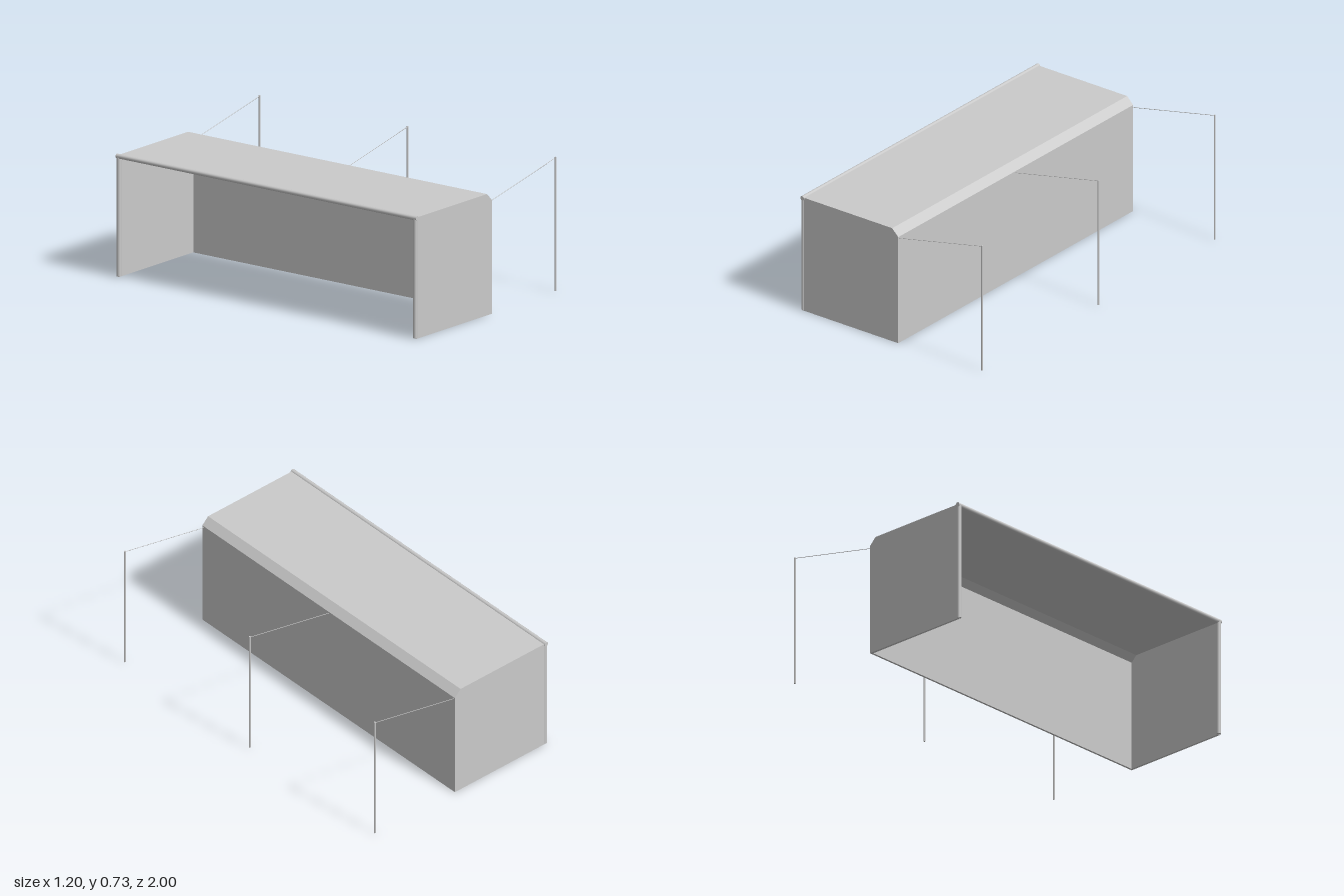
import * as THREE from 'three';

const canvas = new THREE.MeshStandardMaterial({ color: 0xcacaca });
canvas.name = 'light grey';

const BACK = -0.59, FRONT = 0.045, TOP = 0.657, CUT = 0.04, END = 0.995, T = 0.012;

function part(name, geometry, parent) {
  const mesh = new THREE.Mesh(geometry, canvas);
  mesh.name = name;
  parent.add(mesh);
  return mesh;
}

// Extrudes an x/y outline along z, centred on zMid
function slab(points, depth, zMid) {
  const shape = new THREE.Shape(points.map(([x, y]) => new THREE.Vector2(x, y)));
  return new THREE.ExtrudeGeometry(shape, { depth, bevelEnabled: false }).translate(0, 0, zMid - depth / 2);
}

// Straight round bar between two points
function rod(name, a, b, radius, sides, parent) {
  const from = new THREE.Vector3(...a), to = new THREE.Vector3(...b);
  const dir = to.clone().sub(from);
  const mesh = part(name, new THREE.CylinderGeometry(radius, radius, dir.length(), sides), parent);
  mesh.position.copy(from).add(to).multiplyScalar(0.5);
  mesh.quaternion.setFromUnitVectors(new THREE.Vector3(0, 1, 0), dir.normalize());
}

export function createModel() {
  const model = new THREE.Group();
  model.name = 'awningShelter';

  // Roof, chamfered eave and long wall as one thin folded sheet, open at the back and below
  const k = T * 0.414;
  part('roofAndLongWall', slab([
    [BACK, TOP], [BACK, TOP - T], [FRONT - CUT - k, TOP - T],
    [FRONT - T, TOP - CUT - k], [FRONT - T, 0], [FRONT, 0],
    [FRONT, TOP - CUT], [FRONT - CUT, TOP],
  ], 2 * (END - T), 0), model);

  const postX = BACK + 0.002, r = 0.0125, postZ = 0.987;
  for (const side of [-1, 1]) {
    // End wall with the clipped eave corner
    part('endWall', slab([
      [BACK, 0], [FRONT, 0], [FRONT, TOP - CUT], [FRONT - CUT, TOP], [BACK, TOP],
    ], T, side * (END - T / 2)), model);
    // Corner post at the open side
    rod('cornerPost', [postX, 0.004, side * postZ], [postX, 0.655, side * postZ], r, 12, model);
  }

  // Bar along the top of the opening
  rod('openingBar', [postX, 0.653, -1], [postX, 0.653, 1], r, 12, model);

  // Free-standing poles with guy lines to the eave
  for (const z of [-0.985, 0, 0.985]) {
    rod('pole', [0.594, 0.005, z], [0.594, 0.73, z], 0.005, 8, model);
    rod('guyLine', [FRONT - 0.002, 0.607, z], [0.594, 0.726, z], 0.0015, 6, model);
  }
  return model;
}
